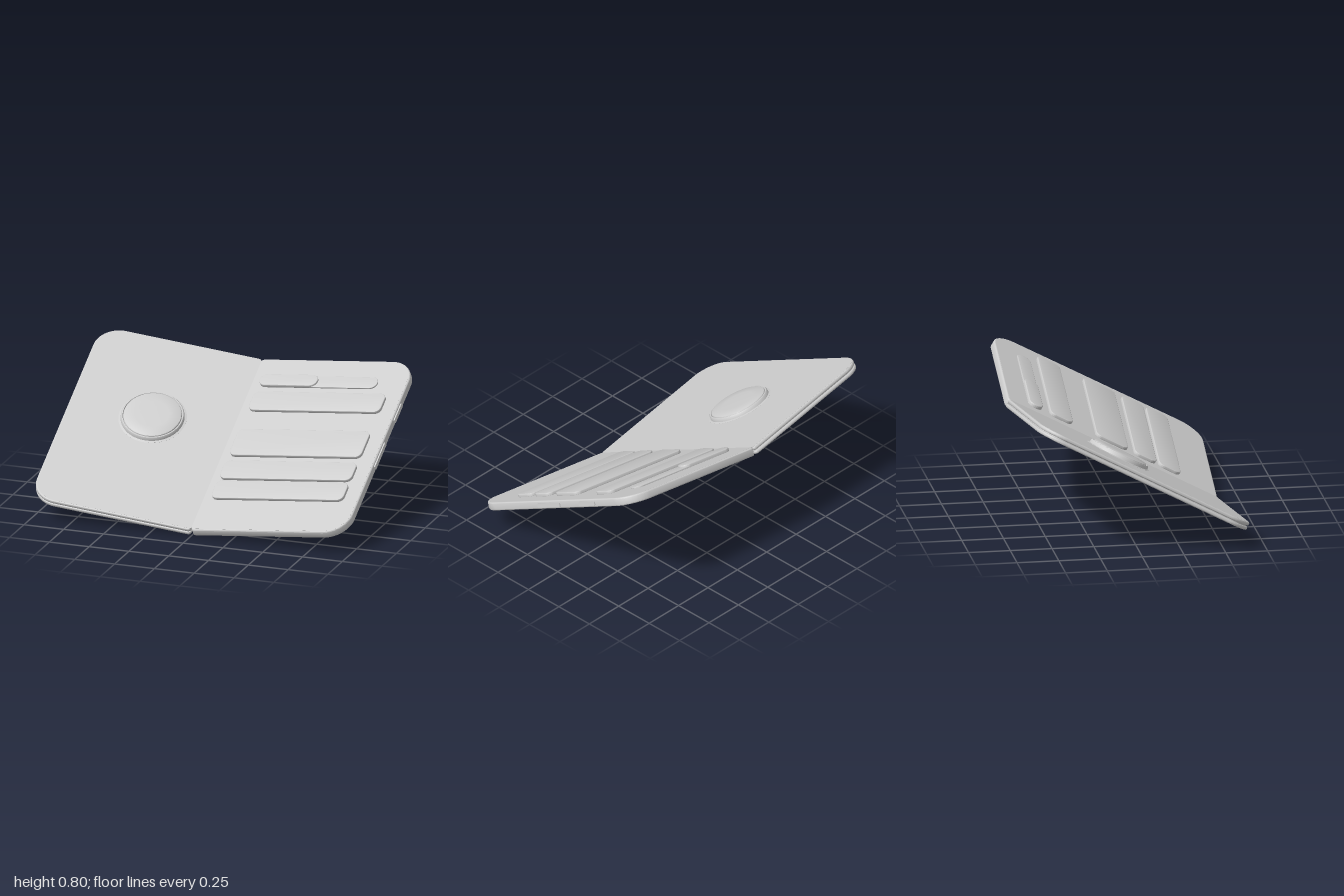
import * as THREE from 'three';
import { toCreasedNormals } from 'three/addons/utils/BufferGeometryUtils.js';

const TILT = THREE.MathUtils.degToRad(28.1);  // lean of the whole device
const FOLD = THREE.MathUtils.degToRad(7.5);   // lift of each half
const W = 1.0, D = 0.71, T = 0.05;            // half width, half depth, thickness

const shell = new THREE.MeshStandardMaterial({ color: 0xcccccc });
shell.name = 'light grey';

// Rectangle with separate corner radii on its -x and +x ends
function roundedRect(x0, x1, y0, y1, ra, rb) {
  const s = new THREE.Shape();
  s.absarc(x1 - rb, y0 + rb, rb, -Math.PI / 2, 0);
  s.absarc(x1 - rb, y1 - rb, rb, 0, Math.PI / 2);
  s.absarc(x0 + ra, y1 - ra, ra, Math.PI / 2, Math.PI);
  s.absarc(x0 + ra, y0 + ra, ra, Math.PI, Math.PI * 1.5);
  s.closePath();
  return s;
}

// Flat slab on one half: u runs out from the spine, z front to back, y up from yBase
function slab(name, side, [u0, u1], [z0, z1], [rIn, rOut], yBase, h, bevel = 0) {
  const shape = side > 0
    ? roundedRect(u0, u1, -z1, -z0, rIn, rOut)
    : roundedRect(-u1, -u0, -z1, -z0, rOut, rIn);
  const geo = new THREE.ExtrudeGeometry(shape, {
    depth: h - 2 * bevel, curveSegments: 14,
    bevelEnabled: bevel > 0, bevelThickness: bevel, bevelSize: bevel,
    bevelOffset: -bevel, bevelSegments: 3,
  });
  geo.translate(0, 0, bevel);
  geo.rotateX(-Math.PI / 2);
  const mesh = new THREE.Mesh(toCreasedNormals(geo, 0.6), shell);
  mesh.name = name;
  mesh.position.y = yBase;
  return mesh;
}

// One half, hinged at its top inner edge (y = 0 is the upper face)
function half(name, side) {
  const g = new THREE.Group();
  g.name = name;
  g.position.y = T;
  g.rotation.z = side * FOLD;
  // Face plate reaching the fold, so the upper crease stays closed
  g.add(slab('facePlate', side, [0, W - 0.01], [-D + 0.01, D - 0.01], [0.012, 0.145], -0.012, 0.0125));
  return g;
}

export function createModel() {
  const model = new THREE.Group();
  model.name = 'foldingDevice';
  const device = new THREE.Group();
  device.name = 'tiltedBody';
  device.position.set(-0.003, 0.335, -0.037);
  device.rotation.x = TILT;
  model.add(device);

  // Half with the raised bars
  const barHalf = half('barHalf', 1);
  barHalf.add(slab('barBody', 1, [0, W], [-D, D], [0.02, 0.155], -T, T, 0.008));
  for (const [z0, z1] of [[-0.425, -0.272], [-0.113, 0.102], [0.147, 0.295], [0.312, 0.459]]) {
    barHalf.add(slab('raisedBar', 1, [0.05, 0.905], [z0, z1], [0.04, 0.04], -0.002, 0.022, 0.004));
  }
  barHalf.add(slab('sliderTrack', 1, [0.05, 0.81], [-0.567, -0.476], [0.045, 0.045], -0.002, 0.012, 0.003));
  barHalf.add(slab('sliderFill', 1, [0.05, 0.425], [-0.567, -0.476], [0.045, 0.045], -0.002, 0.024, 0.004));

  // Side buttons on the outer edge
  for (const [z, len] of [[0.047, 0.205], [-0.307, 0.145]]) {
    const geo = new THREE.ExtrudeGeometry(
      roundedRect(-len / 2, len / 2, -0.0125, 0.0125, 0.006, 0.006),
      { depth: 0.016, bevelEnabled: false, curveSegments: 5 });
    geo.rotateY(Math.PI / 2);
    const button = new THREE.Mesh(toCreasedNormals(geo, 0.6), shell);
    button.name = 'sideButton';
    button.position.set(W - 0.008, -T / 2, z);
    barHalf.add(button);
  }
  device.add(barHalf);

  // Half with the round dial, split by a seam around its rim
  const dialHalf = half('dialHalf', -1);
  dialHalf.add(
    slab('upperShell', -1, [0, W], [-D, D], [0.02, 0.155], -0.023, 0.023, 0.008),
    slab('seamCore', -1, [0.004, W - 0.012], [-D + 0.012, D - 0.012], [0.015, 0.143], -0.035, 0.02),
    slab('lowerShell', -1, [0, W], [-D, D], [0.02, 0.155], -T, 0.022, 0.008));

  // Dial: thin flange, raised rim and a gently domed cap
  const profile = [
    [0.203, -0.002], [0.203, 0.001], [0.19, 0.004], [0.187, 0.02], [0.183, 0.025],
    [0.177, 0.025], [0.174, 0.019], [0.171, 0.027], [0.165, 0.031], [0.1, 0.034], [0, 0.035],
  ].map(([r, y]) => new THREE.Vector2(r, y));
  const dial = new THREE.Mesh(toCreasedNormals(new THREE.LatheGeometry(profile, 64), 0.6), shell);
  dial.name = 'roundDial';
  dial.position.set(-0.485, 0, -0.087);
  dialHalf.add(dial);
  device.add(dialHalf);

  // Hinge rod filling the groove under the fold
  const hinge = new THREE.Mesh(new THREE.CylinderGeometry(0.014, 0.014, 2 * D - 0.06, 16), shell);
  hinge.name = 'hingeRod';
  hinge.rotation.x = Math.PI / 2;
  hinge.position.y = 0.022;
  device.add(hinge);

  return model;
}
